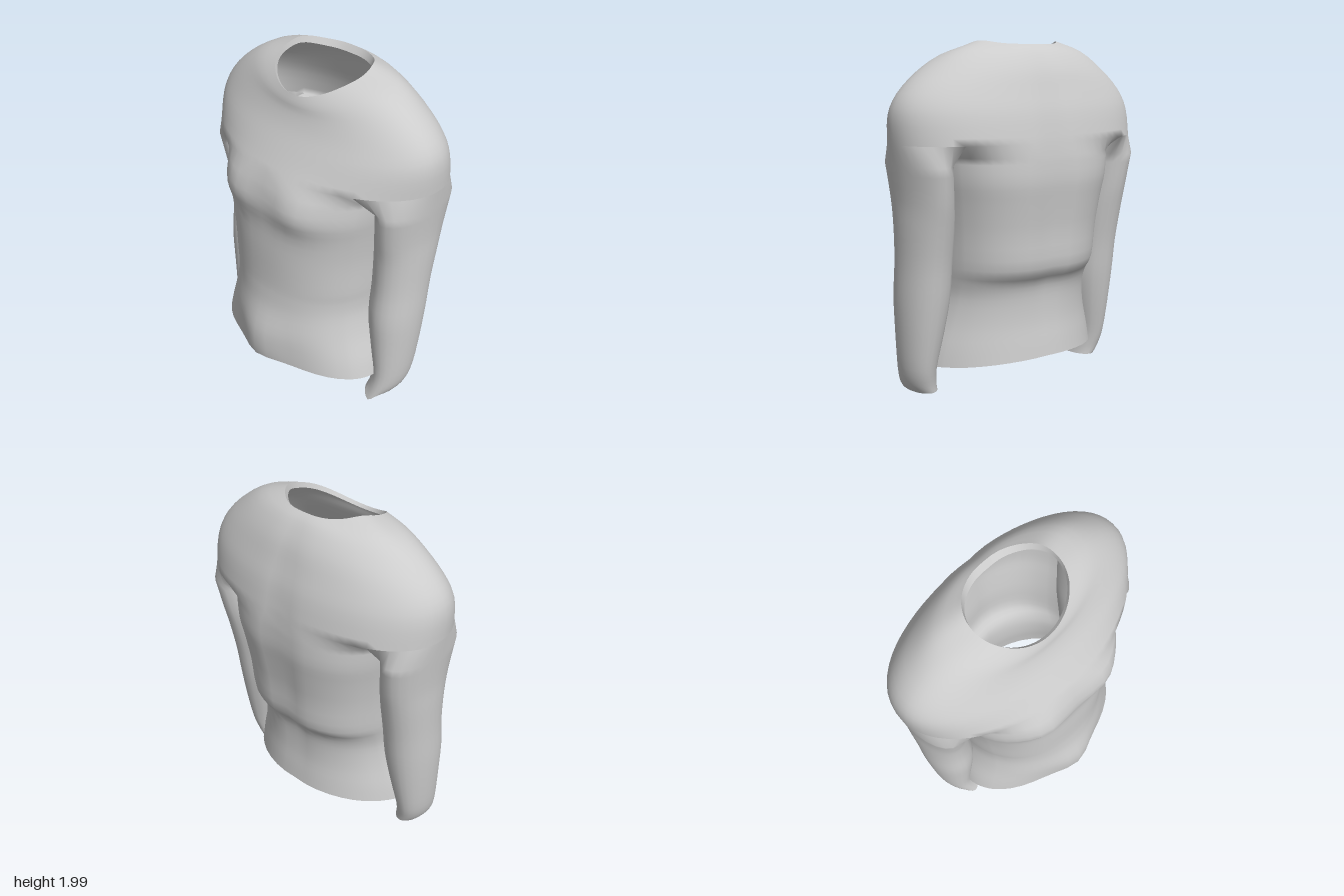
import * as THREE from 'three';
import { mergeVertices } from 'three/addons/utils/BufferGeometryUtils.js';

const N = 64;          // points around the body
const S = N / 8;       // steps from the side point to the armpit

// Catmull-Rom subdivision of a table of section rows
function smooth(rows, k) {
  const out = [];
  const at = i => rows[Math.max(0, Math.min(rows.length - 1, i))];
  for (let i = 0; i < rows.length - 1; i++) {
    for (let j = 0; j < k; j++) {
      const t = j / k;
      out.push(rows[i].map((b, c) => {
        const a = at(i - 1)[c], d = at(i + 1)[c], e = at(i + 2)[c];
        return b + 0.5 * t * (d - a + t * (2 * a - 5 * b + 4 * d - e + t * (3 * (b - d) + e - a)));
      }));
    }
  }
  out.push(rows[rows.length - 1]);
  return out;
}

// Skin closed rings listed from top to bottom; skipAfter leaves a gap below that ring
function loft(rings, skipAfter = -1) {
  const n = rings[0].length, pos = rings.flat(2), idx = [];
  for (let r = 0; r < rings.length - 1; r++) {
    if (r === skipAfter) continue;
    for (let i = 0; i < n; i++) {
      const a = r * n + i, b = r * n + (i + 1) % n;
      idx.push(a, b, a + n, b, b + n, a + n);
    }
  }
  let g = new THREE.BufferGeometry();
  g.setAttribute('position', new THREE.Float32BufferAttribute(pos, 3));
  g.setIndex(idx);
  g = mergeVertices(g, 1e-4);
  g.computeVertexNormals();
  return g;
}

const pow = (v, e) => Math.sign(v) * Math.abs(v) ** e;
const bell = (v, s) => Math.exp(-(v * v) / (s * s));

// Angle of ring point i; corner is the angle in degrees given to the armpit points
function ringAngle(i, corner) {
  const quarter = Math.floor(i / (2 * S)), u = (i % (2 * S)) / (2 * S);
  const v = quarter % 2 ? 1 - u : u;
  const d = v < 0.5 ? v * 2 * corner : corner + (v * 2 - 1) * (90 - corner);
  return THREE.MathUtils.degToRad(quarter % 2 ? (quarter + 1) * 90 - d : quarter * 90 + d);
}

// One body section: front, side and back heights, half width, front z, back z, middle z,
// front and back roundness
function section([yF, yS, yB, w, zF, zB, zc, eF, eB], corner, neck = 0) {
  const ring = [];
  for (let i = 0; i < N; i++) {
    const t = ringAngle(i, corner), c = Math.cos(t), s = Math.sin(t);
    const e = s > 0 ? eF : eB;
    const x = w * pow(c, e);
    const y = yS + ((s > 0 ? yF : yB) - yS) * s * s + neck * bell(s + 0.4, 0.4);
    let z = zc + (s > 0 ? zF - zc : zc - zB) * pow(s, e);
    if (s > 0.3) {
      z += 0.035 * bell(Math.abs(x) - 0.23, 0.14) * bell(y - 1.29, 0.12);  // bust
      z += 0.055 * bell(x, 0.15) * bell(y - 0.3, 0.25);                    // belly
    }
    if (s < -0.3) z += 0.025 * bell(x, 0.07) * bell(y - 1.1, 0.7);         // spine groove
    ring.push([x, y, z]);
  }
  return ring;
}

// Yoke from neckline to armpits
const yoke = smooth([
  [1.84, 1.955, 1.97, 0.29, 0.19, -0.29, -0.05, 1, 1],
  [1.80, 1.915, 1.935, 0.46, 0.205, -0.34, -0.08, 1, 1],
  [1.75, 1.83, 1.84, 0.61, 0.215, -0.405, -0.09, 1, 1],
  [1.67, 1.715, 1.72, 0.73, 0.25, -0.45, -0.09, 1, 0.96],
  [1.57, 1.60, 1.60, 0.78, 0.31, -0.49, -0.09, 1, 0.92],
  [1.45, 1.45, 1.45, 0.78, 0.385, -0.52, -0.1, 1.03, 0.9],
], 3);
const YOKE_CORNER = 48;

// Torso from below the armpits to the hem
const torso = smooth([
  [1.38, 1.38, 1.38, 0.555, 0.41, -0.53, -0.06, 0.8, 0.78],
  [1.25, 1.25, 1.25, 0.54, 0.435, -0.535, -0.04, 0.78, 0.76],
  [1.12, 1.12, 1.12, 0.52, 0.43, -0.52, -0.03, 0.82, 0.78],
  [0.95, 0.95, 0.95, 0.50, 0.44, -0.50, -0.02, 0.88, 0.8],
  [0.76, 0.76, 0.76, 0.49, 0.445, -0.49, 0, 0.92, 0.82],
  [0.68, 0.68, 0.67, 0.485, 0.45, -0.43, 0, 0.94, 0.84],
  [0.58, 0.58, 0.58, 0.485, 0.458, -0.41, 0.02, 0.95, 0.88],
  [0.44, 0.44, 0.44, 0.515, 0.478, -0.41, 0.04, 0.97, 0.92],
  [0.32, 0.29, 0.32, 0.565, 0.475, -0.425, 0.07, 1, 0.95],
  [0.235, 0.185, 0.235, 0.59, 0.47, -0.435, 0.09, 1, 0.95],
], 3);

// Straight line across the armhole, from S steps before point m to S steps after it
function armhole(ring, m) {
  const a = ring[(m - S + N) % N], b = ring[m + S];
  return Array.from({ length: 2 * S + 1 }, (_, j) =>
    a.map((v, k) => v + (b[k] - v) * j / (2 * S)));
}

function bodyGeometry() {
  const upper = yoke.map((row, i) => section(row, YOKE_CORNER, 0.035 * Math.max(0, 1 - i / 6)));
  const last = upper[upper.length - 1];
  // Same outline with the arm bulges cut off at the armpits
  const cut = [...last];
  for (const m of [0, N / 2]) {
    armhole(last, m).forEach((p, j) => { cut[(m - S + j + N) % N] = p; });
  }
  const lower = torso.map(row => section(row, 27));
  return loft([...upper, cut, ...lower], upper.length - 1);
}

// Thin turned-in edge of the neckline
function collarGeometry() {
  return loft([
    section(yoke[0], YOKE_CORNER, 0.035),
    section([1.825, 1.925, 1.935, 0.285, 0.172, -0.262, -0.05, 1, 1], YOKE_CORNER, 0.03),
  ]);
}

// Sleeve sections: height, centre x, centre z, half width, half depth, cuff droop
function sleeveGeometry() {
  const last = section(yoke[yoke.length - 1], YOKE_CORNER);
  const top = [];
  for (let i = -S; i <= S; i++) top.push(last[(i + N) % N]);
  top.push(...armhole(last, 0).slice(1, -1).reverse());
  const rows = smooth([
    [1.34, 0.635, -0.1, 0.135, 0.275, 0],
    [1.15, 0.615, -0.1, 0.138, 0.243, 0],
    [1.00, 0.605, -0.095, 0.145, 0.215, 0],
    [0.80, 0.6, -0.077, 0.145, 0.193, 0],
    [0.60, 0.6, -0.055, 0.145, 0.188, 0],
    [0.40, 0.61, -0.042, 0.125, 0.168, 0],
    [0.20, 0.62, -0.025, 0.098, 0.145, 0],
    [0.10, 0.605, -0.005, 0.09, 0.14, 0.02],
    [0.05, 0.585, 0.01, 0.08, 0.145, 0.05],
  ], 3);
  // The outer arc spans 240 degrees, the flat armpit side the rest
  const outer = Math.PI * 2 / 3;
  const angle = i => i <= 2 * S
    ? -outer + (i / S) * outer
    : outer + (i / S / 2 - 1) * 2 * (Math.PI - outer);
  const rings = rows.map(([y, cx, cz, rx, rz, droop]) => top.map((_, i) => {
    const t = angle(i), s = Math.sin(t);
    return [cx + rx * Math.cos(t), y - droop * Math.max(0, s) ** 8, cz + rz * s];
  }));
  return loft([top, ...rings]);
}

export function createModel() {
  const shirt = new THREE.Group();
  shirt.name = 'shirt';
  const fabric = new THREE.MeshStandardMaterial({ color: 0xcccccc, side: THREE.DoubleSide });
  fabric.name = 'light grey fabric';
  const add = (name, geometry) => {
    const mesh = new THREE.Mesh(geometry, fabric);
    mesh.name = name;
    shirt.add(mesh);
    return mesh;
  };
  add('body', bodyGeometry());
  add('collarEdge', collarGeometry());
  const sleeve = sleeveGeometry();
  add('leftSleeve', sleeve);
  add('rightSleeve', sleeve).scale.x = -1;
  return shirt;
}
